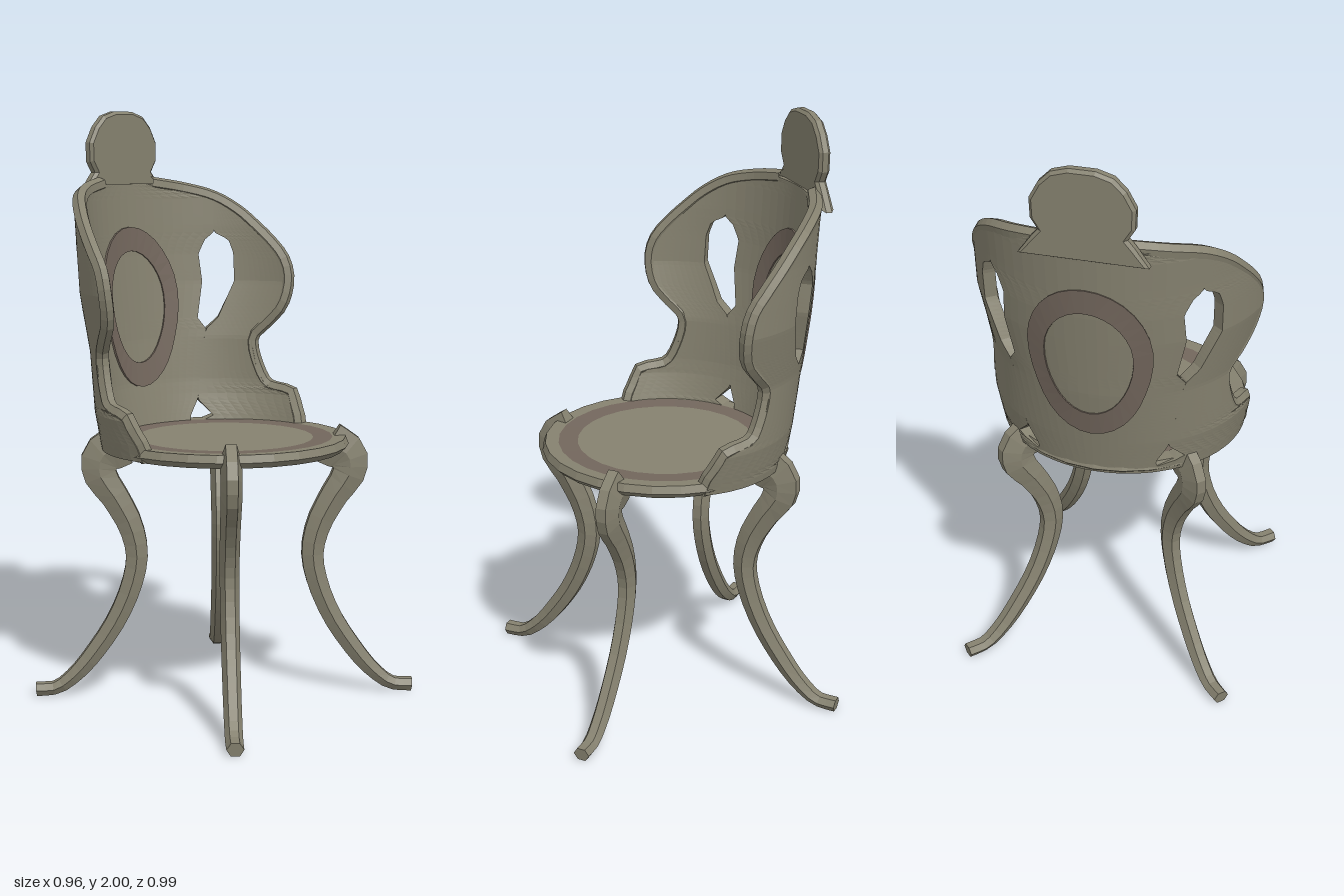
import * as THREE from 'three';

const mat = (color) => new THREE.MeshStandardMaterial({ color, flatShading: true, side: THREE.DoubleSide });
const metal = mat(0x85816f);
const brown = mat(0x72665c);

// Linear lookup in a table of [y, value] pairs
function lookup(table, y) {
  for (let i = 1; i < table.length; i++) {
    const [y0, a] = table[i - 1], [y1, b] = table[i];
    if (y <= y1) return a + (b - a) * Math.max(0, (y - y0) / (y1 - y0));
  }
  return table[table.length - 1][1];
}

// Skin a list of equal-sized, counter-clockwise sections and cap both ends
function loft(sections) {
  const n = sections[0].length, last = (sections.length - 1) * n, index = [];
  for (let i = 0; i < sections.length - 1; i++) {
    for (let k = 0; k < n; k++) {
      const a = i * n + k, b = i * n + (k + 1) % n;
      index.push(a, b, a + n, b, b + n, a + n);
    }
  }
  for (let k = 0; k < n / 2 - 1; k++) {
    const p = k, q = k + 1, r = n - 2 - k, s = n - 1 - k;
    index.push(p, r, q, p, s, r, last + p, last + q, last + r, last + p, last + r, last + s);
  }
  const geo = new THREE.BufferGeometry().setFromPoints(sections.flat());
  geo.setIndex(index);
  geo.computeVertexNormals();
  return geo;
}

// Wrap-around back: radii, thickness and outline by height
const radiusX = [[0.87, 0.415], [1.0, 0.44], [1.2, 0.44], [1.4, 0.485], [1.6, 0.49], [1.75, 0.5]];
const radiusZ = [[0.87, 0.39], [1.2, 0.44], [1.5, 0.47], [1.75, 0.485]];
const thickness = [[0.87, 0.06], [1.05, 0.045], [1.75, 0.04]];
const edge = [[0.87, 1.66], [0.92, 1.62], [0.97, 1.54], [1.005, 1.5], [1.03, 1.24], [1.08, 1.16], [1.2, 1.11],
  [1.26, 1.23], [1.32, 1.34], [1.41, 1.37], [1.48, 1.33], [1.54, 1.22], [1.6, 1.08], [1.65, 0.95],
  [1.7, 0.76], [1.73, 0.52], [1.75, 0.26]];
// Angles of the two sides of the openings (equal where there is none)
const openingInner = [[0.87, 0.5], [0.9, 0.5], [0.915, 0.48], [0.98, 0.57], [1.23, 0.7], [1.27, 0.62], [1.4, 0.65],
  [1.5, 0.63], [1.55, 0.69], [1.575, 0.76], [2, 0.76]];
const openingOuter = [[0.87, 0.5], [0.9, 0.5], [0.915, 0.74], [0.98, 0.57], [1.23, 0.7], [1.27, 0.8], [1.4, 0.92],
  [1.5, 0.92], [1.55, 0.88], [1.575, 0.76], [2, 0.76]];

// Point on the back; depth 0 is the outside, 1 the inside
function backPoint(angle, y, depth) {
  const t = depth * lookup(thickness, y);
  return new THREE.Vector3((lookup(radiusX, y) - t) * Math.sin(angle), y, -(lookup(radiusZ, y) - t) * Math.cos(angle));
}

function backStrip(low, high, y0, y1, rows, cols) {
  const sections = [];
  for (let i = 0; i <= rows; i++) {
    const y = y0 + (y1 - y0) * i / rows, inside = [], outside = [];
    for (let k = 0; k <= cols; k++) {
      const angle = low(y) + (high(y) - low(y)) * k / cols;
      inside.push(backPoint(angle, y, 1));
      outside.unshift(backPoint(angle, y, 0));
    }
    sections.push([...inside, ...outside]);
  }
  return loft(sections);
}

// Leg with tapering six-sided section, bowed along a diagonal
const legPath = [[0.25, 0.88], [0.295, 0.84], [0.3, 0.78], [0.265, 0.7], [0.228, 0.6], [0.213, 0.5], [0.225, 0.4],
  [0.26, 0.28], [0.31, 0.17], [0.36, 0.085], [0.41, 0.032], [0.46, 0.026]];
const legDepth = [[0, 0.085], [0.12, 0.075], [0.25, 0.055], [0.45, 0.043], [0.75, 0.035], [0.92, 0.024], [1, 0.025]];
function legGeometry(sx, sz) {
  const curve = new THREE.CatmullRomCurve3(legPath.map(([r, y]) => new THREE.Vector3(sx * r, y, 0.02 + sz * r)));
  const side = new THREE.Vector3(-sz, 0, sx).normalize();
  const sections = [];
  for (let i = 0; i <= 26; i++) {
    const u = i / 26, p = curve.getPoint(u);
    const normal = new THREE.Vector3().crossVectors(side, curve.getTangent(u));
    const section = [];
    for (let k = 0; k < 6; k++) {
      const a = (k + 0.5) * Math.PI / 3;
      section.push(p.clone().addScaledVector(normal, lookup(legDepth, u) * Math.cos(a))
        .addScaledVector(side, (0.036 - 0.008 * u) * Math.sin(a)));
    }
    sections.push(section);
  }
  return loft(sections);
}

export function createModel() {
  const model = new THREE.Group();
  const add = (name, geometry, material = metal) => {
    const mesh = new THREE.Mesh(geometry, material);
    mesh.name = name;
    model.add(mesh);
    return mesh;
  };
  const lathe = (points) => new THREE.LatheGeometry(points.map(([r, y]) => new THREE.Vector2(r, y)), 28);

  // Seat with a tinted band and a shallow plate below
  add('seat', lathe([[0, 0.85], [0.28, 0.85], [0.33, 0.862], [0.4, 0.865], [0.42, 0.885], [0.41, 0.91],
    [0.365, 0.908]])).position.z = 0.02;
  add('seatBand', lathe([[0.365, 0.908], [0.3, 0.905]]), brown).position.z = 0.02;
  add('seatCentre', lathe([[0.3, 0.905], [0, 0.905]])).position.z = 0.02;

  // Back: centre panel and two wings, parted by the openings
  const inner = (y) => Math.min(lookup(openingInner, y), lookup(edge, y));
  add('backPanel', backStrip((y) => -inner(y), inner, 0.87, 1.75, 66, 18));
  for (const s of [-1, 1]) {
    const a = (y) => lookup(openingOuter, y), b = (y) => lookup(edge, y);
    const wing = s > 0 ? backStrip(a, b, 0.87, 1.7, 64, 10)
      : backStrip((y) => -b(y), (y) => -a(y), 0.87, 1.7, 64, 10);
    const label = s > 0 ? 'left' : 'right';
    add(label + 'Wing', wing);

    // Rounded rim along the free edge
    const path = edge.map(([y, angle]) => backPoint(s * angle, y, 0.5));
    add(label + 'Rim', new THREE.TubeGeometry(new THREE.CatmullRomCurve3(path), 44, 0.025, 6));
  }

  // Oval band on both faces of the back
  const ring = [];
  for (let i = 0; i <= 32; i++) {
    const t = i / 32 * Math.PI * 2;
    const at = (s, depth) => backPoint(0.44 * s * Math.cos(t), 1.32 + 0.28 * s * Math.sin(t), depth);
    ring.push([at(0.7, 1.15), at(1, 1.15), at(1, -0.1), at(0.7, -0.1)]);
  }
  add('backOval', loft(ring), brown);

  // Crest
  const half = [[0.19, 1.71], [0.15, 1.76], [0.125, 1.79], [0.15, 1.83], [0.152, 1.89], [0.125, 1.94], [0.09, 1.975], [0.04, 1.99]];
  const outline = [...half, ...half.map(([x, y]) => [-x, y]).reverse()];
  const crest = new THREE.ExtrudeGeometry(new THREE.Shape(outline.map(([x, y]) => new THREE.Vector2(x, y))),
    { depth: 0.02, bevelThickness: 0.01, bevelSize: 0.01, bevelSegments: 1 });
  add('crest', crest).position.z = -0.48;

  // Legs
  for (const sx of [-1, 1]) {
    for (const sz of [-1, 1]) {
      add((sz > 0 ? 'front' : 'back') + (sx > 0 ? 'Left' : 'Right') + 'Leg', legGeometry(sx, sz));
    }
  }
  return model;
}
